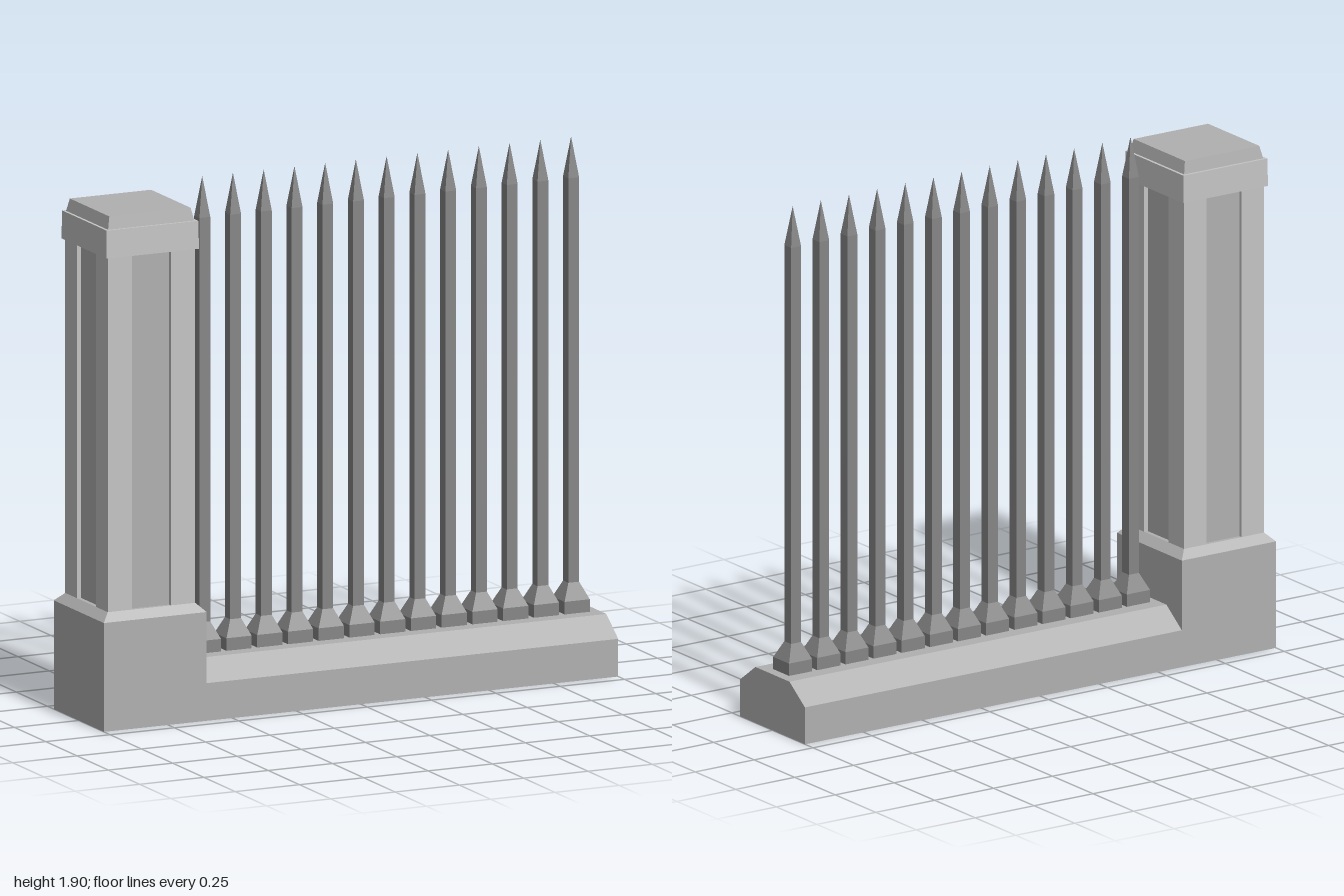
import * as THREE from 'three';

const stone = new THREE.MeshStandardMaterial({ color: 0xb0b0b0 });
stone.name = 'stone grey';
const paleStone = new THREE.MeshStandardMaterial({ color: 0xc4c4c4 });
paleStone.name = 'pale stone grey';
const iron = new THREE.MeshStandardMaterial({ color: 0x868686 });
iron.name = 'iron grey';

// Square solid with flat faces from a profile of [halfWidth, y], bottom to top
function squareTurned(profile) {
  const points = profile.map(([half, y]) => new THREE.Vector2(half * Math.SQRT2, y));
  const geometry = new THREE.LatheGeometry(points, 4).rotateY(Math.PI / 4).toNonIndexed();
  geometry.computeVertexNormals();
  return geometry;
}

function addPart(parent, name, geometry, material, x = 0, y = 0, z = 0) {
  const mesh = new THREE.Mesh(geometry, material);
  mesh.name = name;
  mesh.position.set(x, y, z);
  parent.add(mesh);
  return mesh;
}

function createPillar() {
  const pillar = new THREE.Group();
  pillar.name = 'pillar';
  // Base block with a chamfered top
  addPart(pillar, 'pillarBase',
    squareTurned([[0, 0], [0.2, 0], [0.2, 0.39], [0.17, 0.42], [0, 0.42]]), stone);
  // Recessed core between four corner posts
  addPart(pillar, 'recessedCore', new THREE.BoxGeometry(0.31, 1.28, 0.31), stone, 0, 1.055, 0);
  const post = new THREE.BoxGeometry(0.095, 1.28, 0.095);
  for (const sx of [-1, 1]) {
    for (const sz of [-1, 1]) {
      addPart(pillar, 'cornerPost', post, paleStone, sx * 0.1225, 1.055, sz * 0.1225);
    }
  }
  // Cap band and the slightly tapered slab on top
  addPart(pillar, 'capBand',
    squareTurned([[0, 1.69], [0.18, 1.69], [0.178, 1.79], [0, 1.79]]), paleStone);
  addPart(pillar, 'capSlab',
    squareTurned([[0.168, 1.789], [0.158, 1.835], [0, 1.835]]), stone);
  return pillar;
}

// Low wall with both long top edges sloped
function createPlinth() {
  const section = new THREE.Shape([
    [-0.2, 0], [0.2, 0], [0.2, 0.135], [0.105, 0.205], [-0.105, 0.205], [-0.2, 0.135],
  ].map(([z, y]) => new THREE.Vector2(z, y)));
  const geometry = new THREE.ExtrudeGeometry(section, { depth: 1.6, bevelEnabled: false });
  return geometry.rotateY(Math.PI / 2);
}

export function createModel() {
  const model = new THREE.Group();
  model.name = 'fenceSection';

  const pillar = createPillar();
  pillar.position.x = -0.8;
  model.add(pillar);

  addPart(model, 'plinth', createPlinth(), stone, -0.6, 0, 0);

  // Row of pointed bars, each on a flared foot
  const bar = squareTurned([
    [0.049, 0.2], [0.049, 0.25], [0.021, 0.31], [0.021, 1.76], [0, 1.905],
  ]);
  for (let i = 0; i < 13; i++) {
    addPart(model, 'fenceBar', bar, iron, -0.52 + i * 0.1195, 0, 0);
  }
  return model;
}
